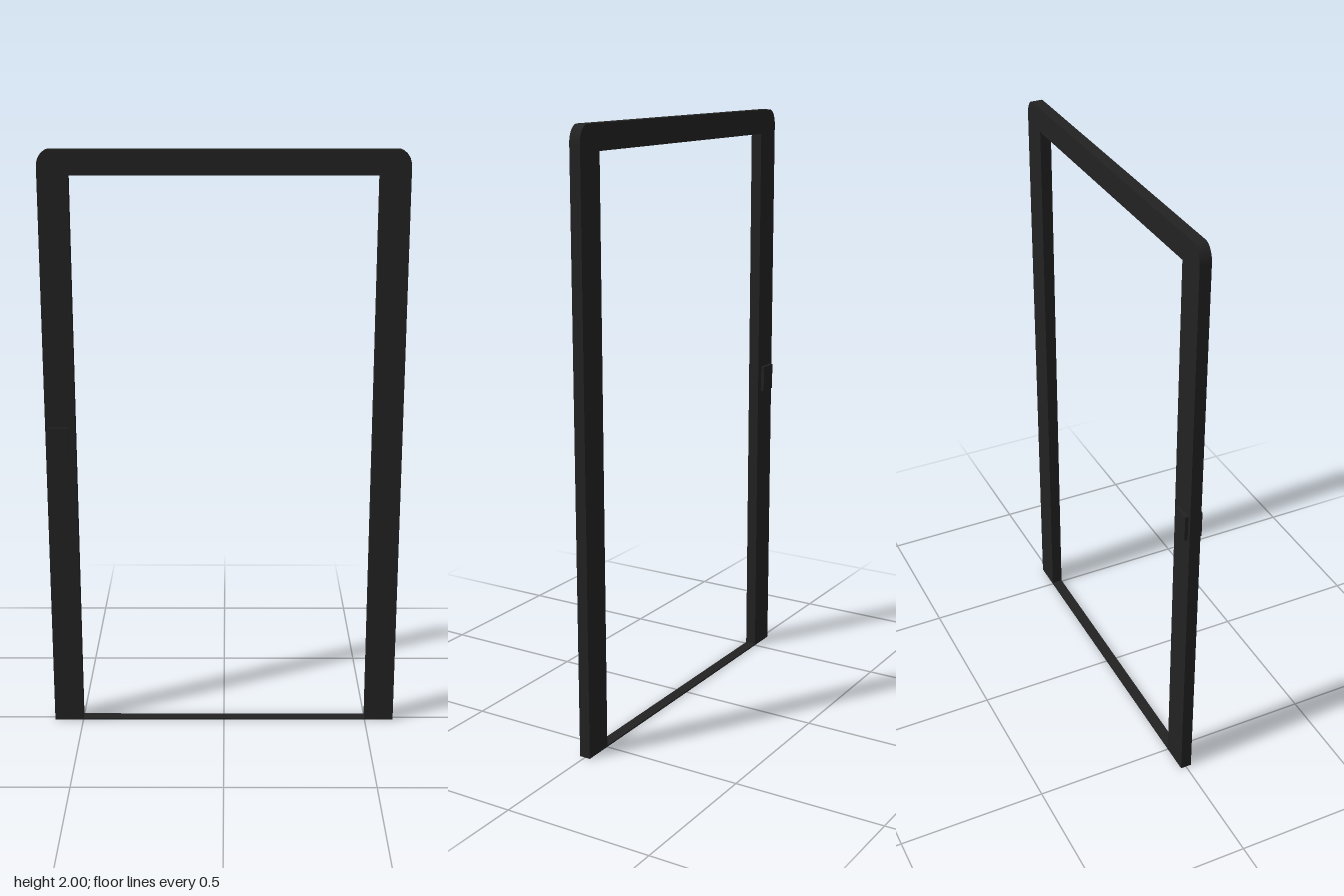
import * as THREE from 'three';

export function createModel() {
  const group = new THREE.Group();
  const black = new THREE.MeshStandardMaterial({ color: 0x222222 });
  black.name = 'black';

  const halfW = 0.6, innerW = 0.5, height = 2, depth = 0.038;
  const rx = 0.04, ry = 0.055;

  // Frame outline with rounded top corners
  const outline = new THREE.Shape();
  outline.moveTo(-halfW, 0);
  outline.lineTo(halfW, 0);
  outline.lineTo(halfW, height - ry);
  outline.absellipse(halfW - rx, height - ry, rx, ry, 0, Math.PI / 2, false);
  outline.lineTo(-halfW + rx, height);
  outline.absellipse(-halfW + rx, height - ry, rx, ry, Math.PI / 2, Math.PI, false);
  outline.closePath();

  // Opening, leaving a thin sill along the floor
  const opening = new THREE.Path();
  opening.moveTo(-innerW, 0.005);
  opening.lineTo(-innerW, 1.918);
  opening.lineTo(innerW, 1.918);
  opening.lineTo(innerW, 0.005);
  opening.closePath();
  outline.holes.push(opening);

  const frameGeometry = new THREE.ExtrudeGeometry(outline, {
    depth, bevelEnabled: false, curveSegments: 6,
  });
  frameGeometry.translate(0, 0, -depth / 2);
  const frame = new THREE.Mesh(frameGeometry, black);
  frame.name = 'doorFrame';
  group.add(frame);

  // Lock box passing through the right stile
  const lock = new THREE.Mesh(new THREE.BoxGeometry(0.065, 0.09, 0.06), black);
  lock.name = 'lockBox';
  lock.position.set(-0.555, 1.035, 0);
  group.add(lock);

  return group;
}
